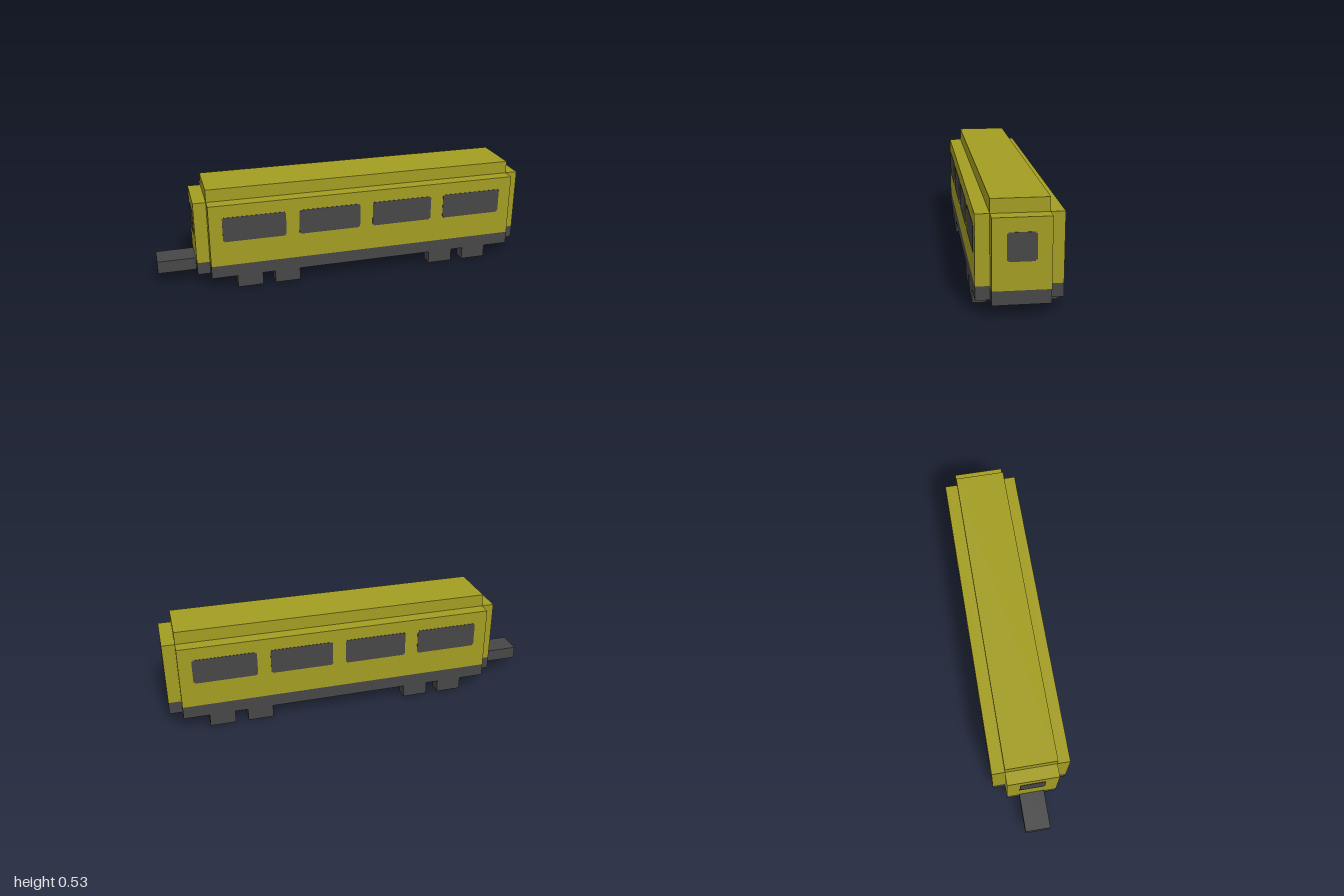
import * as THREE from 'three';

const U = 1 / 15; // modelling unit

export function createModel() {
  const paint = new THREE.MeshStandardMaterial({ color: 0xa39c22 });
  paint.name = 'yellow paint';
  const dark = new THREE.MeshStandardMaterial({ color: 0x464646 });
  dark.name = 'dark grey';

  const car = new THREE.Group();
  car.name = 'railCar';

  const add = (name, geometry, material) => {
    const mesh = new THREE.Mesh(geometry, material);
    mesh.name = name;
    car.add(mesh);
    return mesh;
  };

  // Box given by its limits in units
  const box = (name, material, x0, x1, y0, y1, z0, z1) =>
    add(name, new THREE.BoxGeometry((x1 - x0) * U, (y1 - y0) * U, (z1 - z0) * U), material)
      .position.set((x0 + x1) * U / 2, (y0 + y1) * U / 2, (z0 + z1) * U / 2);

  // Rectangle with square notches cut from its four corners
  const notched = (x0, x1, h, nx, ny) => new THREE.Shape([
    [x0 + nx, -h], [x1 - nx, -h], [x1 - nx, -h + ny], [x1, -h + ny],
    [x1, h - ny], [x1 - nx, h - ny], [x1 - nx, h], [x0 + nx, h],
    [x0 + nx, h - ny], [x0, h - ny], [x0, -h + ny], [x0 + nx, -h + ny],
  ].map(([x, y]) => new THREE.Vector2(x * U, y * U)));

  // Floor plan with narrower vestibules at both ends
  const plan = notched(-12, 15, 3, 1, 1);
  const slab = (name, material, y0, y1) => {
    const geometry = new THREE.ExtrudeGeometry(plan, { depth: (y1 - y0) * U, bevelEnabled: false });
    geometry.rotateX(-Math.PI / 2);
    add(name, geometry, material).position.y = y0 * U;
  };
  slab('underframe', dark, 1, 2);
  slab('body', paint, 2, 7);

  // Raised roof and coupler
  box('roof', paint, -11, 14, 7, 8, -2, 2);
  box('coupler', dark, -15, -12, 1, 2, -1, 1);

  // Wheel blocks, four on each side
  for (const x of [-9, -6, 7, 10]) {
    box('leftWheel', dark, x, x + 2, 0, 1, 2, 3);
    box('rightWheel', dark, x, x + 2, 0, 1, -3, -2);
  }

  // Window panes, thin plates just proud of the walls
  const pane = (name, width, x, z, turn) => {
    const shape = notched(-width / 2, width / 2, 1, 0.1, 0.1);
    const mesh = add(name, new THREE.ExtrudeGeometry(shape, { depth: 0.002, bevelEnabled: false }), dark);
    mesh.position.set(x * U, 5 * U, z * U);
    mesh.rotation.y = turn;
  };
  for (const x of [-7.5, -2, 3.6, 9.2].map((_, i) => -7.5 + i * 6)) {
    pane('frontWindow', 4.95, x, 3, 0);
    pane('backWindow', 4.95, x, -3, Math.PI);
  }
  pane('leftEndWindow', 2, 15, 0, Math.PI / 2);
  pane('rightEndWindow', 2, -12, 0, -Math.PI / 2);

  return car;
}
